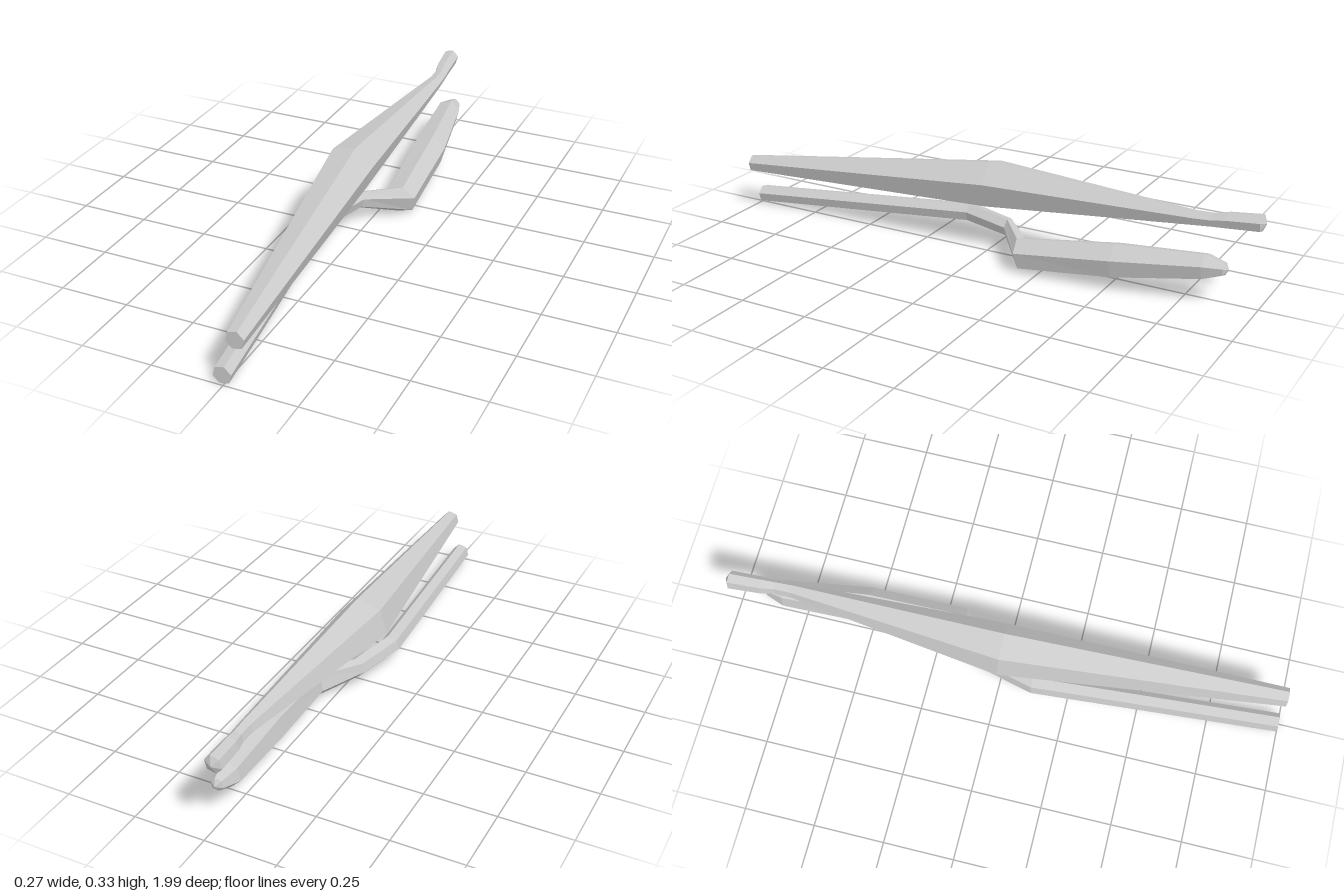
import * as THREE from 'three';

const SIDES = 6;

// Lofts a hexagonal bar through sections [z, centreX, centreY, radius, phase in degrees, tilt].
function loft(name, sections, tipZ) {
  const pos = [];
  const idx = [];
  for (const [z, cx, cy, r, phase = 14, tilt = 0] of sections) {
    for (let i = 0; i < SIDES; i++) {
      const a = THREE.MathUtils.degToRad(phase) + (i / SIDES) * Math.PI * 2;
      const dy = r * Math.sin(a);
      pos.push(cx + r * Math.cos(a), cy + dy, z + tilt * dy);
    }
  }
  // Centres of the flat front end and the pointed rear end
  const first = sections[0];
  const last = sections[sections.length - 1];
  const front = pos.length / 3;
  const rear = front + 1;
  pos.push(first[1], first[2], first[0], last[1], last[2], tipZ);

  const end = (sections.length - 1) * SIDES;
  for (let i = 0; i < SIDES; i++) {
    const j = (i + 1) % SIDES;
    for (let s = 0; s < end; s += SIDES) {
      const a = s + i, b = s + j, c = a + SIDES, d = b + SIDES;
      idx.push(a, c, b, b, c, d);
    }
    idx.push(front, i, j, rear, end + j, end + i);
  }

  const geo = new THREE.BufferGeometry();
  geo.setAttribute('position', new THREE.Float32BufferAttribute(pos, 3));
  geo.setIndex(idx);
  geo.computeVertexNormals();
  const mesh = new THREE.Mesh(
    geo,
    new THREE.MeshStandardMaterial({ color: 0xcccccc, flatShading: true })
  );
  mesh.name = name;
  return mesh;
}

export function createModel() {
  const group = new THREE.Group();
  group.name = 'pairedBars';

  // Long upper bar: swells at the middle, necks in, ends in a small knob
  group.add(loft('upperBar', [
    [0.995, 0.045, 0.178, 0.033],
    [0, -0.044, 0.245, 0.091],
    [-0.76, -0.018, 0.274, 0.027],
    [-0.82, -0.021, 0.277, 0.025],
    [-0.87, -0.029, 0.283, 0.03],
    [-0.98, -0.038, 0.291, 0.032],
  ], -0.995));

  // Lower bar: thin straight rod, sideways bend, then a thick tapering blade
  group.add(loft('lowerBar', [
    [0.995, -0.005, 0.038, 0.033],
    [0.12, -0.092, 0.098, 0.035],
    [-0.06, -0.046, 0.091, 0.033],
    [-0.178, 0.08, 0.062, 0.058, 18, 0.2],
    [-0.52, 0.055, 0.1, 0.065, 17],
    [-0.82, 0.018, 0.128, 0.047, 17],
    [-0.885, 0.018, 0.132, 0.024, 17],
  ], -0.9));

  return group;
}
